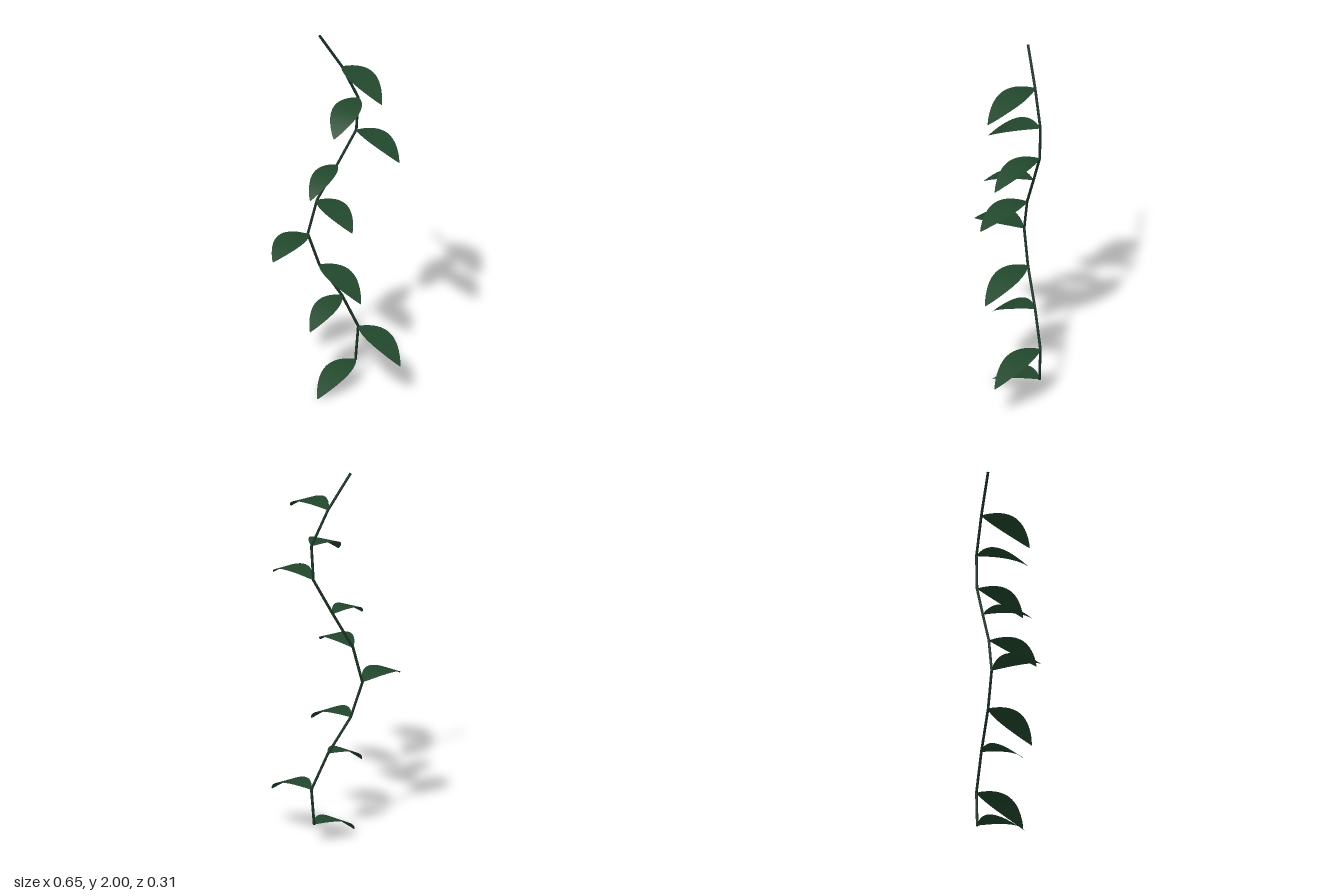
import * as THREE from 'three';

const STEM_Z = -0.146;
const STEM_RADIUS = 0.007;

// Stem joints from top to bottom: [x, y]
const joints = [
  [-0.038, 1.997], [0.077, 1.808], [0.162, 1.618], [0.152, 1.433], [0.052, 1.243], [-0.052, 1.053],
  [-0.1, 0.863], [-0.04, 0.678], [0.077, 0.488], [0.162, 0.298], [0.148, 0.109],
];

// One leaf for each joint below the first: tip [x, y, z] and half width as a share of length
const leafSpecs = [
  [0.215, 1.728, 0.152, 0.225], [-0.015, 1.513, 0.073, 0.262], [0.308, 1.378, 0.145, 0.2],
  [-0.135, 1.165, 0.059, 0.21], [0.065, 0.998, 0.142, 0.228], [-0.325, 0.828, 0.045, 0.262],
  [0.112, 0.578, 0.131, 0.235], [-0.125, 0.383, 0.014, 0.26], [0.312, 0.203, 0.147, 0.215],
  [-0.09, 0, 0.029, 0.25],
];

// Pointed oval blade that arches from base to tip
function leafGeometry(base, tip, widthRatio) {
  const run = new THREE.Vector3(tip.x - base.x, 0, tip.z - base.z);
  const length = run.length();
  const side = new THREE.Vector3(-run.z, 0, run.x).normalize();
  const geometry = new THREE.PlaneGeometry(1, 1, 6, 16);
  const pos = geometry.attributes.position;
  const p = new THREE.Vector3();
  for (let i = 0; i < pos.count; i++) {
    const t = pos.getY(i) + 0.5;
    const across = pos.getX(i) * 2;
    const outline = Math.max(0.02, Math.pow(Math.max(0, Math.sin(Math.PI * t)), 0.82));
    p.lerpVectors(base, tip, t).addScaledVector(side, across * length * widthRatio * outline);
    p.y += 0.63 * length * t * (1 - t);
    pos.setXYZ(i, p.x, p.y, p.z);
  }
  geometry.computeVertexNormals();
  return geometry;
}

export function createModel() {
  const stemGreen = new THREE.MeshStandardMaterial({ color: 0x183322 });
  stemGreen.name = 'stemGreen';
  const leafGreen = new THREE.MeshStandardMaterial({ color: 0x21472c, side: THREE.DoubleSide });
  leafGreen.name = 'leafGreen';

  const model = new THREE.Group();
  model.name = 'hangingVine';
  const points = joints.map(([x, y]) => new THREE.Vector3(x, y, STEM_Z));
  const up = new THREE.Vector3(0, 1, 0);

  // Zigzag stem of straight segments
  const stem = new THREE.Group();
  stem.name = 'stem';
  for (let i = 1; i < points.length; i++) {
    const dir = points[i - 1].clone().sub(points[i]);
    const segment = new THREE.Mesh(
      new THREE.CylinderGeometry(STEM_RADIUS, STEM_RADIUS, dir.length() + 0.004, 8), stemGreen);
    segment.name = 'stemSegment' + i;
    segment.position.addVectors(points[i - 1], points[i]).multiplyScalar(0.5);
    segment.quaternion.setFromUnitVectors(up, dir.normalize());
    stem.add(segment);
  }
  model.add(stem);

  // Leaves alternating left and right down the stem
  const leaves = new THREE.Group();
  leaves.name = 'leaves';
  leafSpecs.forEach(([x, y, z, widthRatio], i) => {
    const tip = new THREE.Vector3(x, y, z);
    const leaf = new THREE.Mesh(leafGeometry(points[i + 1], tip, widthRatio), leafGreen);
    leaf.name = 'leaf' + (i + 1);
    leaves.add(leaf);
  });
  model.add(leaves);
  return model;
}
